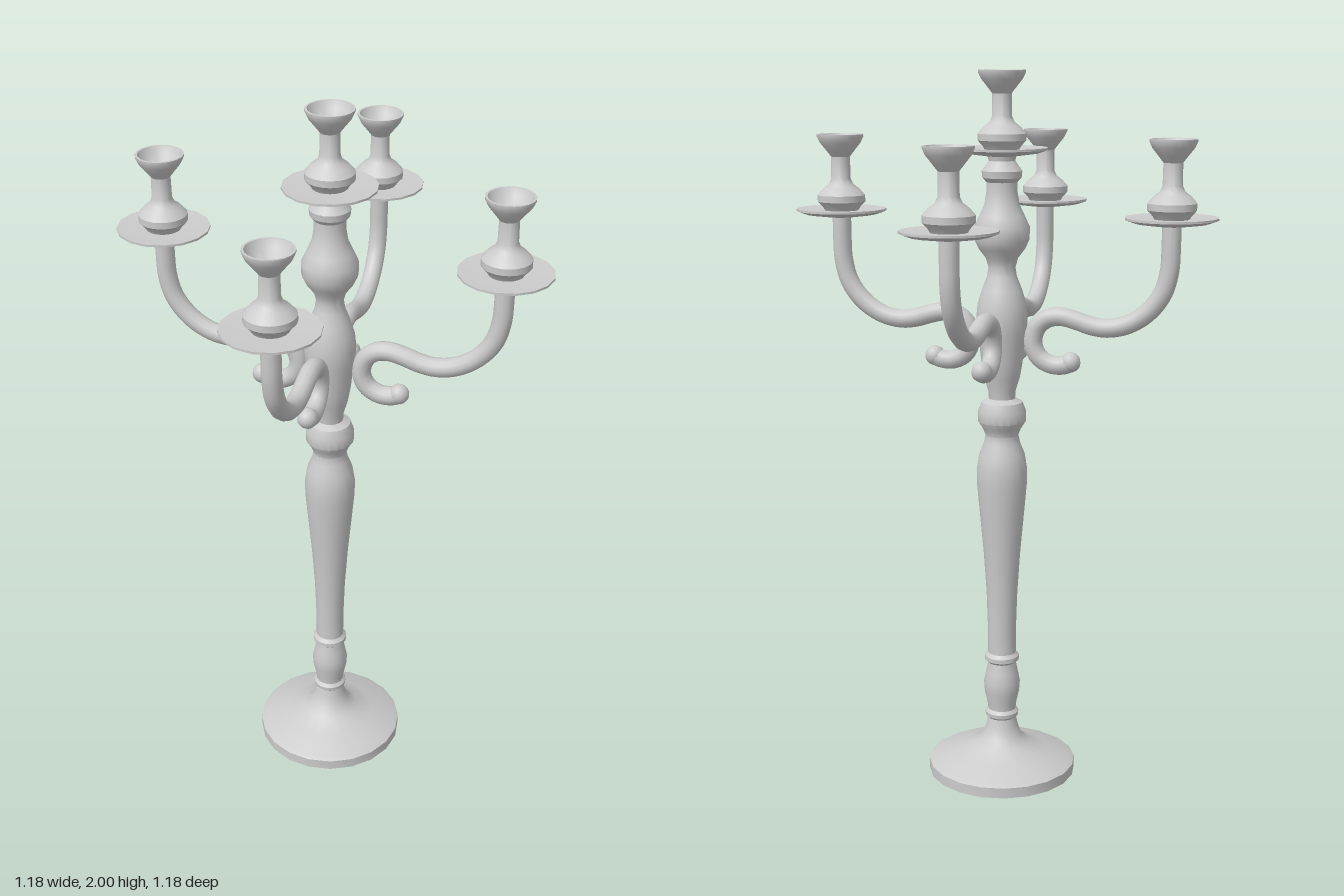
import * as THREE from 'three';
import { toCreasedNormals } from 'three/addons/utils/BufferGeometryUtils.js';

const material = new THREE.MeshStandardMaterial({ color: 0xcccccc, side: THREE.DoubleSide });

function turned(name, profile, sides) {
  const points = profile.map(([r, y]) => new THREE.Vector2(r, y));
  const mesh = new THREE.Mesh(toCreasedNormals(new THREE.LatheGeometry(points, sides), 0.6), material);
  mesh.name = name;
  return mesh;
}

// Drip dish, knob and hollow cup, measured from the underside of the dish
function candleHolder() {
  const holder = new THREE.Group();
  holder.name = 'candleHolder';
  holder.add(turned('dripDish', [
    [0, 0], [0.04, 0], [0.1, 0.008], [0.125, 0.017], [0.125, 0.023], [0.05, 0.018], [0, 0.018],
  ], 16));
  holder.add(turned('candleCup', [
    [0.045, 0.015], [0.052, 0.027], [0.066, 0.042], [0.066, 0.06], [0.05, 0.078], [0.034, 0.09],
    [0.027, 0.105], [0.026, 0.165], [0.04, 0.183], [0.056, 0.203], [0.064, 0.22], [0.064, 0.226],
    [0.058, 0.226], [0.05, 0.208], [0.035, 0.192], [0, 0.182],
  ], 20));
  return holder;
}

// S-shaped branch running out along +x, with a curled hook near the stem
function branch() {
  const arm = new THREE.Group();
  arm.name = 'branch';
  const path = new THREE.CatmullRomCurve3([
    [0.2, 1.222], [0.175, 1.212], [0.14, 1.212], [0.105, 1.232], [0.089, 1.27], [0.1, 1.315],
    [0.13, 1.34], [0.168, 1.346], [0.21, 1.337], [0.25, 1.325], [0.295, 1.32], [0.35, 1.332],
    [0.405, 1.367], [0.445, 1.42], [0.462, 1.48], [0.465, 1.54], [0.465, 1.605],
  ].map(([x, y]) => new THREE.Vector3(x, y, 0)));
  const tube = new THREE.Mesh(new THREE.TubeGeometry(path, 64, 0.026, 12), material);
  tube.name = 'armTube';
  const tip = new THREE.Mesh(new THREE.SphereGeometry(0.028, 12, 10), material);
  tip.name = 'hookTip';
  tip.position.set(0.195, 1.221, 0);
  const holder = candleHolder();
  holder.position.set(0.465, 1.6, 0);
  arm.add(tube, tip, holder);
  return arm;
}

export function createModel() {
  const model = new THREE.Group();
  model.name = 'candelabra';

  // Foot, open and hollow underneath
  model.add(turned('foot', [
    [0, 0.11], [0.04, 0.1], [0.07, 0.07], [0.13, 0.045], [0.2, 0.022], [0.205, 0],
    [0.212, 0], [0.212, 0.03], [0.2, 0.037], [0.13, 0.06], [0.08, 0.083], [0.057, 0.105],
    [0.046, 0.135], [0.04, 0.162],
  ], 20));

  // Lower stem with rings and a long tapering shaft
  model.add(turned('lowerStem', [
    [0.04, 0.16], [0.047, 0.167], [0.048, 0.178], [0.04, 0.187], [0.042, 0.205], [0.05, 0.24],
    [0.052, 0.27], [0.046, 0.3], [0.04, 0.33], [0.049, 0.338], [0.049, 0.35], [0.04, 0.36],
    [0.04, 0.42], [0.044, 0.54], [0.052, 0.66], [0.062, 0.77], [0.07, 0.86], [0.071, 0.905],
    [0.064, 0.95], [0.051, 0.982], [0.046, 1.005], [0.054, 1.025], [0.067, 1.045], [0.067, 1.075],
    [0.057, 1.1], [0.037, 1.11],
  ], 20));

  // Upper stem where the branches join
  model.add(turned('upperStem', [
    [0.036, 1.1], [0.038, 1.13], [0.05, 1.17], [0.057, 1.21], [0.061, 1.25], [0.068, 1.295],
    [0.071, 1.335], [0.067, 1.375], [0.055, 1.415], [0.041, 1.45], [0.037, 1.475], [0.044, 1.5],
    [0.063, 1.525], [0.075, 1.55], [0.076, 1.585], [0.062, 1.615], [0.048, 1.645], [0.042, 1.68],
    [0.042, 1.705], [0.053, 1.717], [0.055, 1.735], [0.044, 1.75], [0.036, 1.762], [0.04, 1.78],
  ], 20));

  const top = candleHolder();
  top.position.y = 1.774;
  model.add(top);

  // Four branches at right angles
  ['left', 'back', 'right', 'front'].forEach((side, i) => {
    const arm = branch();
    arm.name = side + 'Branch';
    arm.rotation.y = i * Math.PI / 2;
    model.add(arm);
  });
  return model;
}
